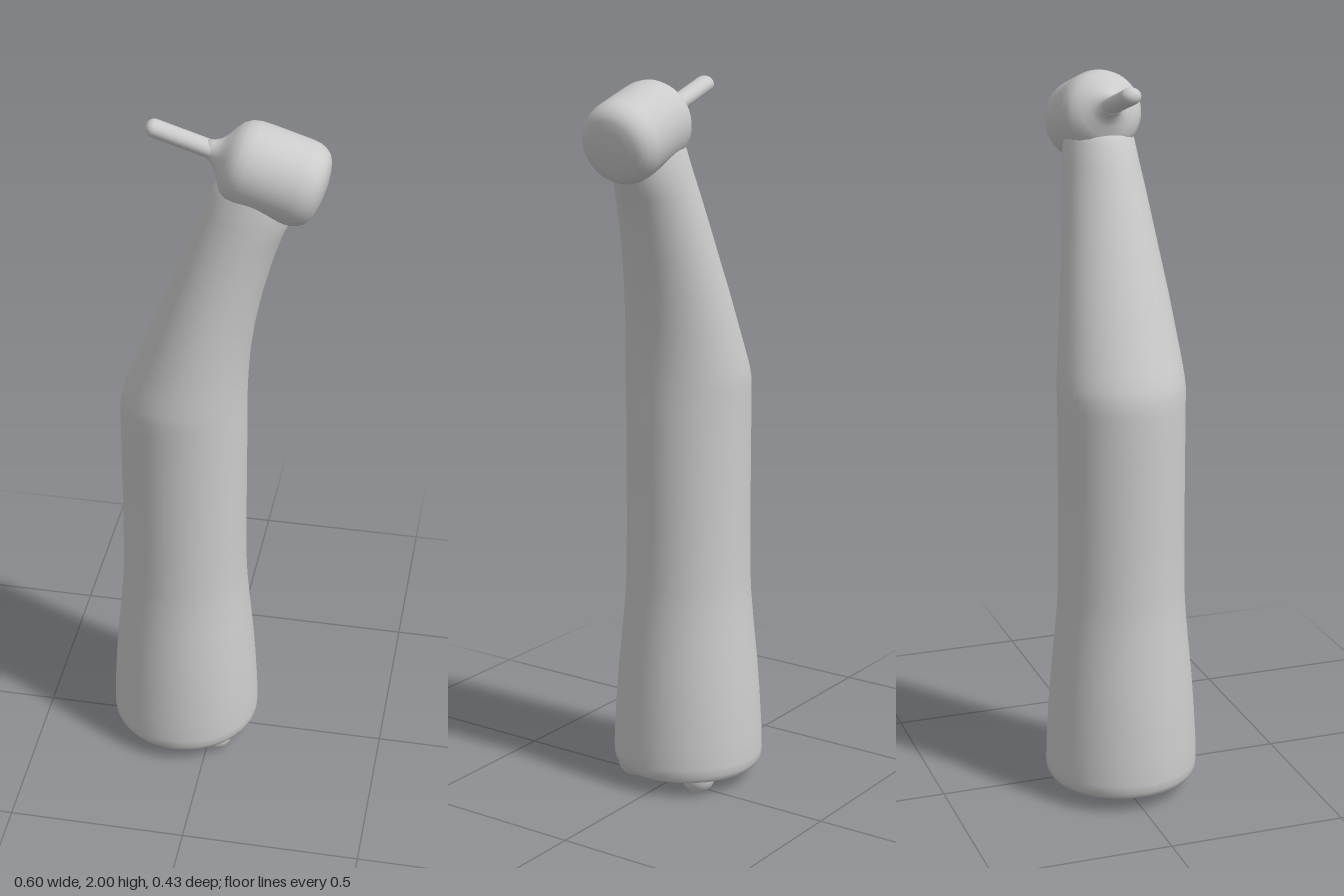
import * as THREE from 'three';

const material = new THREE.MeshStandardMaterial({ color: 0xcccccc });

function part(name, geometry, parent) {
  const mesh = new THREE.Mesh(geometry, material);
  mesh.name = name;
  parent.add(mesh);
  return mesh;
}

// Smooth closed skin over horizontal elliptical rings [y, centre x, radius x, radius z]
function loft(rings, sides = 48) {
  const pos = [], index = [];
  for (const [y, cx, rx, rz] of rings) {
    for (let j = 0; j < sides; j++) {
      const a = (j / sides) * Math.PI * 2;
      pos.push(cx + rx * Math.cos(a), y, rz * Math.sin(a));
    }
  }
  for (let i = 0; i < rings.length - 1; i++) {
    for (let j = 0; j < sides; j++) {
      const k = (j + 1) % sides;
      const a = i * sides + j, b = i * sides + k;
      index.push(a, a + sides, b, b, a + sides, b + sides);
    }
  }
  const geometry = new THREE.BufferGeometry();
  geometry.setAttribute('position', new THREE.Float32BufferAttribute(pos, 3));
  geometry.setIndex(index);
  geometry.computeVertexNormals();
  return geometry;
}

function lathe(points) {
  return new THREE.LatheGeometry(points.map(([r, y]) => new THREE.Vector2(r, y)), 48);
}

export function createModel() {
  const group = new THREE.Group();
  group.name = 'handpiece';
  const cx = -0.085;

  // Handle: recessed base, flared foot and straight grip
  const round = [
    [0.001, 0.08], [0.1, 0.08], [0.155, 0.078], [0.168, 0.06], [0.178, 0.045], [0.19, 0.04],
    [0.203, 0.046], [0.211, 0.062], [0.213, 0.085], [0.211, 0.15], [0.205, 0.25], [0.197, 0.35],
    [0.187, 0.45], [0.179, 0.54], [0.176, 0.6], [0.174, 0.75], [0.174, 1.0], [0.174, 1.13],
  ].map(([r, y]) => [y, cx, r, r]);

  // Neck: leans and tapers towards the head; rows are [y, left edge, right edge, radius z]
  const neck = [
    [1.17, -0.255, 0.088, 0.176], [1.2, -0.248, 0.089, 0.174], [1.24, -0.232, 0.09, 0.17],
    [1.32, -0.2, 0.095, 0.16], [1.42, -0.161, 0.108, 0.148], [1.52, -0.122, 0.128, 0.134],
    [1.62, -0.084, 0.154, 0.121], [1.7, -0.053, 0.18, 0.111], [1.76, -0.03, 0.207, 0.103],
    [1.82, -0.006, 0.21, 0.094], [1.86, 0.022, 0.2, 0.08], [1.88, 0.06, 0.18, 0.05],
  ].map(([y, l, r, rz]) => [y, (l + r) / 2, (r - l) / 2, rz]);
  part('handleAndNeck', loft([...round, ...neck]), group);

  // Head: a tilted drum with a domed cap and a narrow collar
  const head = new THREE.Group();
  head.name = 'head';
  head.position.set(0.15, 1.873, 0);
  head.rotation.z = THREE.MathUtils.degToRad(-107.5);
  group.add(head);
  part('headDrum', lathe([
    [0.001, -0.19], [0.022, -0.185], [0.027, -0.165], [0.036, -0.15], [0.052, -0.137],
    [0.075, -0.124], [0.094, -0.11], [0.106, -0.092], [0.112, -0.068], [0.113, -0.03],
    [0.113, 0.07], [0.111, 0.088], [0.105, 0.105], [0.095, 0.119], [0.08, 0.129],
    [0.055, 0.136], [0.025, 0.14], [0, 0.141],
  ]), head);

  // Bur: slim rod with a rounded tip
  const bur = part('bur', new THREE.CapsuleGeometry(0.023, 0.19, 8, 24), head);
  bur.position.y = -0.225;
  bur.scale.z = 1.2;

  // Coupling details in the base recess: two long pegs and lower uneven lumps
  const base = new THREE.Group();
  base.name = 'coupling';
  group.add(base);
  for (const z of [-0.11, 0.11]) {
    const peg = part('peg', new THREE.SphereGeometry(0.048, 24, 16), base);
    peg.position.set(0.025, 0.048, z);
  }
  const lumps = [
    [-0.23, -0.05, 0.04], [-0.2, 0.08, 0.035], [-0.085, 0.0, 0.05],
    [0.04, 0.0, 0.035], [-0.1, 0.12, 0.035], [-0.1, -0.13, 0.035],
  ];
  for (const [x, z, r] of lumps) {
    const lump = part('lump', new THREE.SphereGeometry(r, 20, 12), base);
    lump.position.set(x, 0.075, z);
    lump.scale.y = 0.8;
  }
  return group;
}
